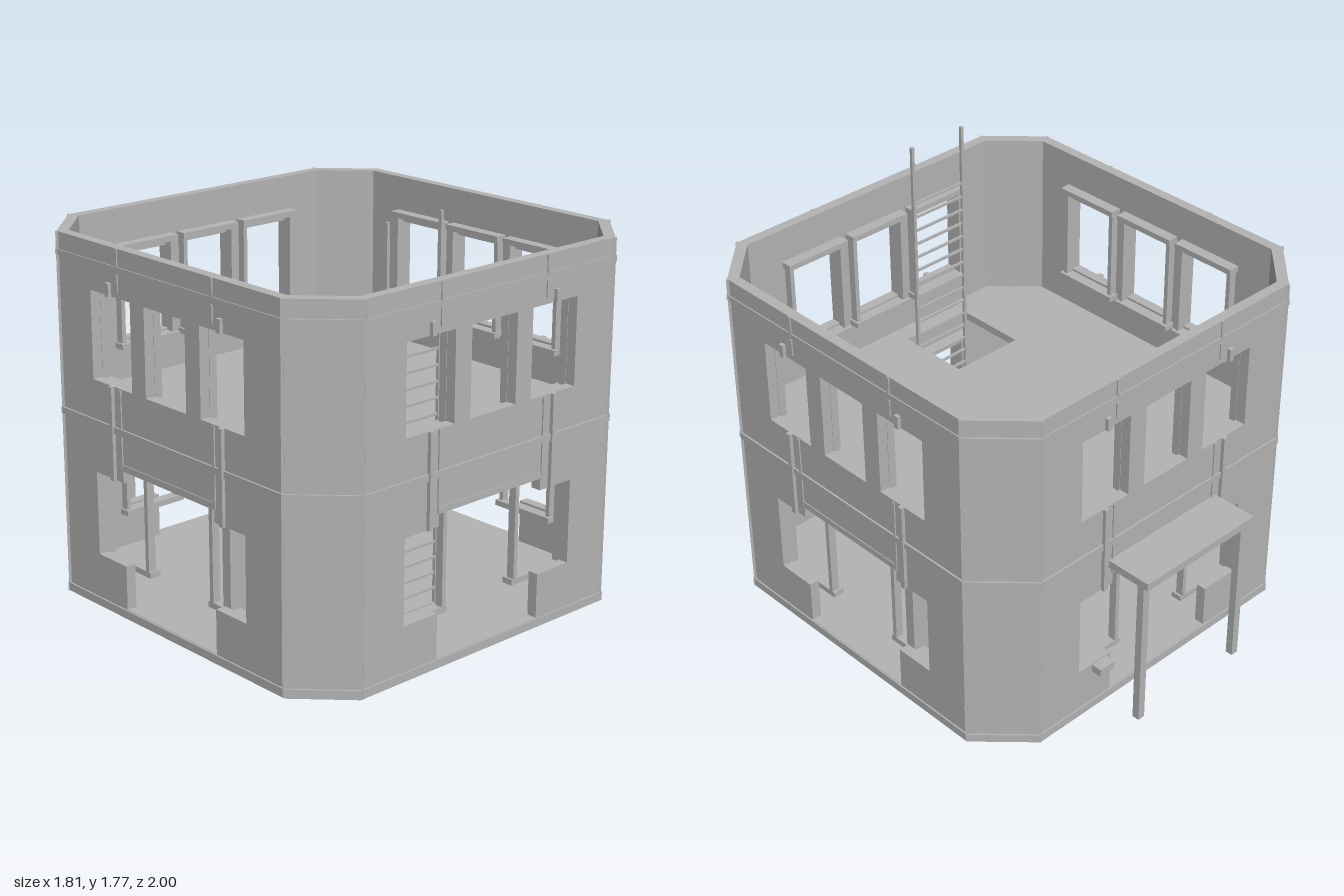
import * as THREE from 'three';

const CZ = 0.095;      // z of the building's centre
const R = 0.887;       // centre to outer wall face
const T = 0.045;       // wall thickness
const C = 0.68;        // half width of the straight walls

export function createModel() {
  const model = new THREE.Group();
  const grey = new THREE.MeshStandardMaterial({ color: 0xb4b4b4 });
  grey.name = 'plain grey';

  const add = (parent, name, geometry) => {
    const mesh = new THREE.Mesh(geometry, grey);
    mesh.name = name;
    parent.add(mesh);
    return mesh;
  };
  // box given by its limits on each axis
  const box = (parent, name, x0, x1, y0, y1, z0, z1) => {
    const mesh = add(parent, name, new THREE.BoxGeometry(x1 - x0, y1 - y0, z1 - z0));
    mesh.position.set((x0 + x1) / 2, (y0 + y1) / 2, (z0 + z1) / 2);
    return mesh;
  };
  const rect = (Type, x0, x1, y0, y1) => new Type([
    new THREE.Vector2(x0, y0), new THREE.Vector2(x1, y0),
    new THREE.Vector2(x1, y1), new THREE.Vector2(x0, y1)]);
  // horizontal octagonal slab, with optional hatch [x0, x1, z0, z1]
  const slab = (name, r, c, y0, y1, hatch) => {
    const pts = [[c, r], [r, c], [r, -c], [c, -r], [-c, -r], [-r, -c], [-r, c], [-c, r]];
    const shape = new THREE.Shape(pts.map(([x, z]) => new THREE.Vector2(x, -z)));
    if (hatch) shape.holes.push(rect(THREE.Path, hatch[0], hatch[1], CZ - hatch[3], CZ - hatch[2]));
    const geometry = new THREE.ExtrudeGeometry(shape, { depth: y1 - y0, bevelEnabled: false });
    geometry.rotateX(-Math.PI / 2);
    add(model, name, geometry).position.set(0, y0, CZ);
  };

  slab('foundation', 0.868, 0.67, 0.005, 0.03);
  slab('groundFloor', 0.86, 0.665, 0.03, 0.06);
  slab('upperFloor', 0.86, 0.665, 0.79, 0.825, [-0.435, -0.095, 0.51, 0.85]);

  // one straight wall, facing +z, with three upper windows and a wide door below
  const makeWall = () => {
    const wall = new THREE.Group();
    wall.name = 'wall';
    const shape = rect(THREE.Shape, -C, C, 0.02, 1.575);
    const windows = [[-0.467, -0.212], [-0.125, 0.125], [0.212, 0.467]];
    windows.forEach(([a, b]) => shape.holes.push(rect(THREE.Path, a, b, 1.005, 1.375)));
    const half = [[0.285, 0.06], [0.285, 0.25], [0.465, 0.25], [0.465, 0.61], [0.285, 0.61], [0.285, 0.66]];
    const outline = [...half, ...half.map(([x, y]) => [-x, y]).reverse()];
    shape.holes.push(new THREE.Path(outline.map(([x, y]) => new THREE.Vector2(x, y))));
    add(wall, 'wallPanel', new THREE.ExtrudeGeometry(shape, { depth: T, bevelEnabled: false }))
      .position.z = R - T;

    // horizontal trim
    box(wall, 'baseBandTrim', -C, C, 0.022, 0.058, R - 0.01, R + 0.007);
    box(wall, 'middleBand', -C, C, 0.81, 0.838, R - 0.01, R + 0.008);
    box(wall, 'topBand', -C, C, 1.48, 1.502, R - 0.01, R + 0.005);
    box(wall, 'doorLintel', -0.29, 0.29, 0.662, 0.69, R - 0.01, R + 0.004);

    for (const s of [-1, 1]) {
      // panel seams and window conduits
      for (const [y0, y1] of [[0.67, 1.0], [1.4, 1.472], [1.484, 1.574]]) {
        box(wall, 'seamRib', s * 0.289 - 0.006, s * 0.289 + 0.006, y0, y1, R - 0.01, R + 0.006);
      }
      for (const [y0, y1] of [[0.61, 1.005], [1.375, 1.43]]) {
        box(wall, 'conduit', s * 0.34 - 0.011, s * 0.34 + 0.011, y0, y1, R - 0.01, R + 0.016);
      }
    }

    // window frames on the inside
    const frame = (a, b, y0, y1) => {
      const zi = R - T;
      box(wall, 'frameHead', a - 0.028, b + 0.028, y1 + 0.025, y1 + 0.05, zi - 0.05, zi);
      box(wall, 'frameSill', a - 0.028, b + 0.028, y0 - 0.035, y0 - 0.01, zi - 0.05, zi);
      for (const x of [a - 0.008, b + 0.008]) {
        box(wall, 'frameJamb', x - 0.01, x + 0.01, y0 - 0.01, y1 + 0.025, zi - 0.035, zi);
      }
    };
    windows.forEach(([a, b], i) => {
      frame(a, b, 1.005, 1.375);
      if (i !== 1) frame(a, b, 0.25, 0.61);
    });
    return wall;
  };

  // angled corner panel, facing +z before turning
  const makeCorner = () => {
    const corner = new THREE.Group();
    corner.name = 'cornerWall';
    const d = (R + C) / Math.SQRT2;
    const w = (R - C) / Math.SQRT2;
    box(corner, 'cornerPanel', -w, w, 0.02, 1.575, d - 0.045, d + 0.002);
    for (const [y0, y1] of [[0.022, 0.058], [0.81, 0.838], [1.48, 1.502]]) {
      box(corner, 'cornerBand', -w - 0.003, w + 0.003, y0, y1, d - 0.01, d + 0.01);
    }
    for (const s of [-1, 1]) {
      box(corner, 'cornerRib', s * w - 0.006, s * w + 0.006, 0.02, 1.575, d - 0.03, d + 0.006);
    }
    return corner;
  };

  for (let i = 0; i < 4; i++) {
    const wall = makeWall();
    const corner = makeCorner();
    wall.rotation.y = i * Math.PI / 2;
    corner.rotation.y = (i + 0.5) * Math.PI / 2;
    wall.position.z = corner.position.z = CZ;
    model.add(wall, corner);
  }

  // ladder through the hatch
  const ladder = new THREE.Group();
  ladder.name = 'ladder';
  for (const x of [-0.405, -0.125]) {
    box(ladder, 'ladderRail', x - 0.007, x + 0.007, 0.06, 1.78, 0.803, 0.817);
  }
  for (let i = 0; i < 22; i++) {
    const y = 0.128 + i * 0.0658;
    box(ladder, 'ladderRung', -0.405, -0.125, y - 0.005, y + 0.005, 0.805, 0.815);
  }
  model.add(ladder);

  // ground floor partitions and furniture
  box(model, 'rightPartition', -0.842, -0.035, 0.06, 0.79, 0.37, 0.415);
  box(model, 'leftPartition', 0.035, 0.842, 0.06, 0.79, -0.23, -0.185);
  box(model, 'counter', 0.11, 0.6, 0.06, 0.375, -0.185, -0.03);
  box(model, 'desk', -0.5, -0.12, 0.06, 0.24, 0.24, 0.37);
  box(model, 'deskPanel', -0.36, -0.24, 0.24, 0.375, 0.232, 0.244);
  const post = add(model, 'centrePost', new THREE.CylinderGeometry(0.03, 0.03, 0.22, 24));
  post.position.set(0, 0.17, 0.1);

  // canopy and wall box at the back
  box(model, 'canopyRoof', -0.31, 0.31, 0.7, 0.735, -1, -0.79);
  for (const s of [-1, 1]) {
    box(model, 'canopyPost', s * 0.285 - 0.017, s * 0.285 + 0.017, 0.01, 0.7, -0.973, -0.94);
  }
  box(model, 'wallBox', 0.31, 0.39, 0.21, 0.245, -0.84, -0.79);

  return model;
}
